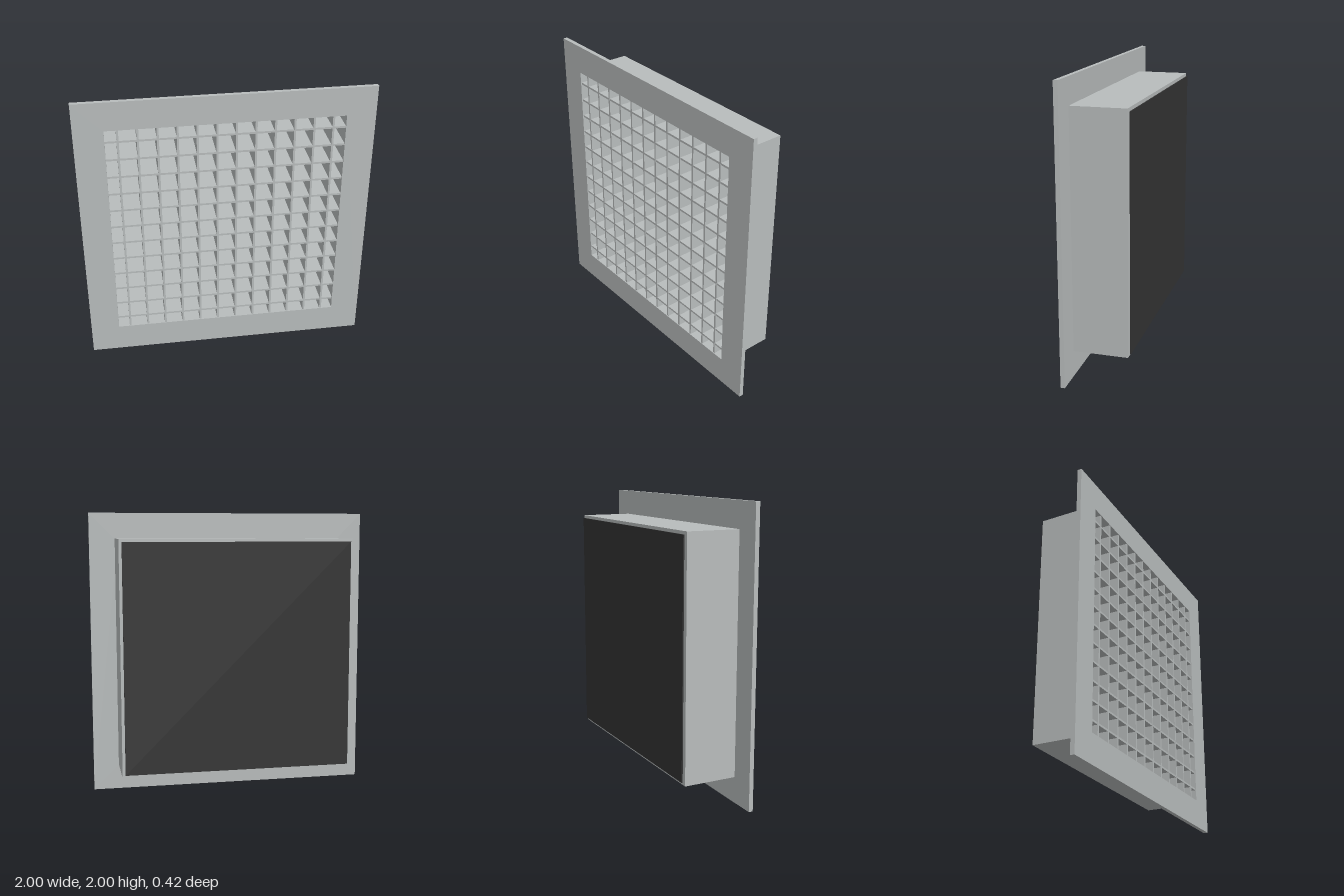
import * as THREE from 'three';

// Square ring extruded along z from z0 to z1
function squareRing(outer, inner, z0, z1) {
  const path = (h, Type) => {
    const p = new Type();
    p.moveTo(-h, -h);
    p.lineTo(h, -h);
    p.lineTo(h, h);
    p.lineTo(-h, h);
    p.closePath();
    return p;
  };
  const shape = path(outer, THREE.Shape);
  shape.holes.push(path(inner, THREE.Path));
  const g = new THREE.ExtrudeGeometry(shape, { depth: z1 - z0, bevelEnabled: false });
  return g.translate(0, 0, z0);
}

export function createModel() {
  const group = new THREE.Group();
  const metal = new THREE.MeshStandardMaterial({ color: 0xb8bcbc });
  metal.name = 'grey metal';
  const dark = new THREE.MeshStandardMaterial({ color: 0x333333 });
  dark.name = 'dark backing';

  const add = (name, geometry, material, x = 0, y = 1, z = 0) => {
    const mesh = new THREE.Mesh(geometry, material);
    mesh.name = name;
    mesh.position.set(x, y, z);
    group.add(mesh);
  };

  // Front flange and the duct collar behind it
  add('flange', squareRing(1, 0.8, 0.18, 0.21), metal);
  add('collar', squareRing(0.82, 0.8, -0.195, 0.18), metal);

  // Panel closing the back of the collar, and the dark sheet behind it
  add('backPanel', new THREE.BoxGeometry(1.6, 1.6, 0.008), metal, 0, 1, -0.191);
  add('backSheet', new THREE.BoxGeometry(1.6, 1.6, 0.008), dark, 0, 1, -0.206);

  // Egg-crate core: 12 upright and 12 level slats
  const count = 12, pitch = 0.13, thick = 0.014;
  const zBack = -0.187, zFront = 0.205;
  const depth = zFront - zBack, zMid = (zFront + zBack) / 2;
  const upright = new THREE.BoxGeometry(thick, 1.6, depth);
  const level = new THREE.BoxGeometry(1.6, thick, depth - 0.002);
  for (let i = 0; i < count; i++) {
    const d = (i - (count - 1) / 2) * pitch;
    add('uprightSlat', upright, metal, d, 1, zMid);
    add('levelSlat', level, metal, 0, 1 + d, zMid);
  }
  return group;
}
